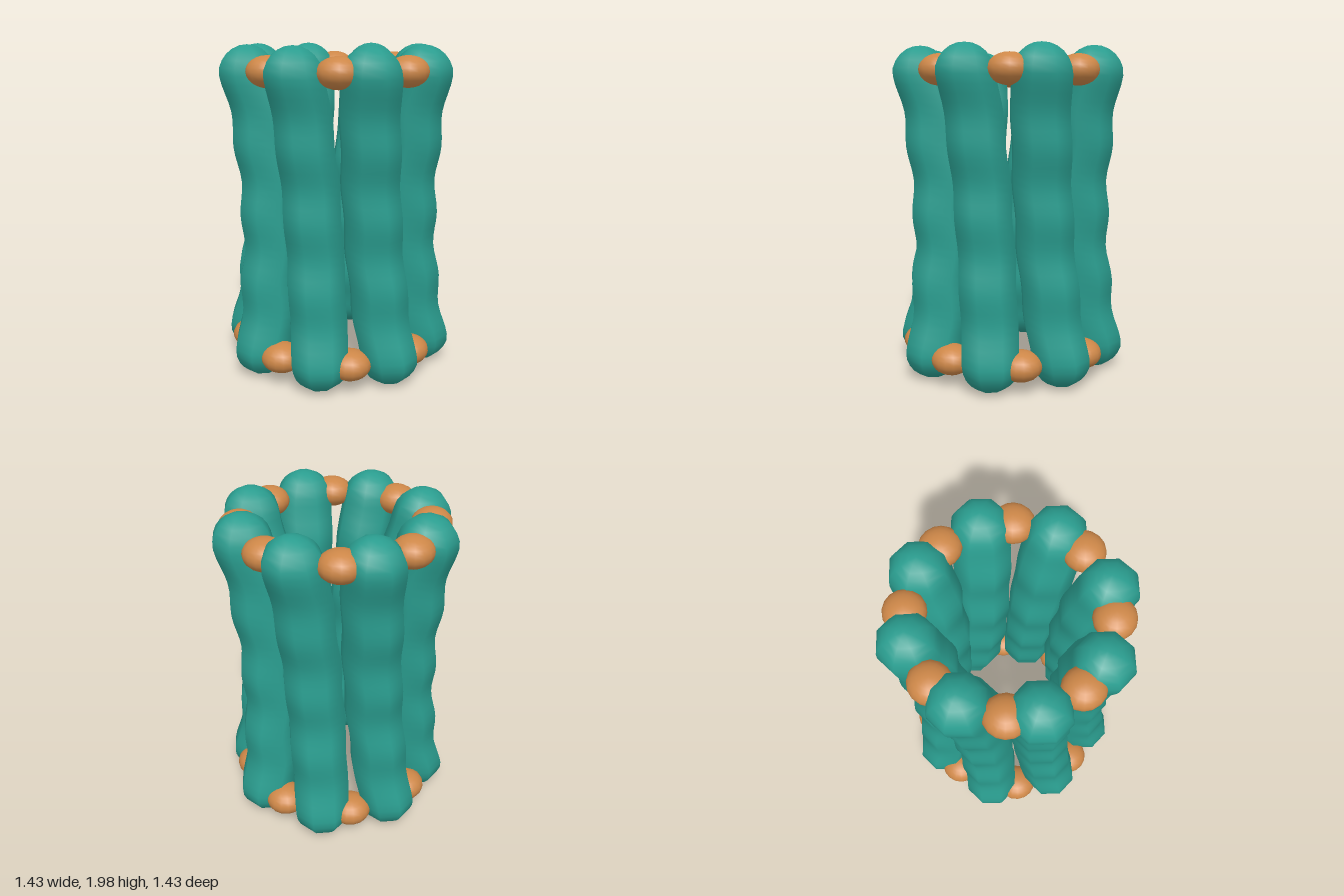
import * as THREE from 'three';
import { mergeVertices } from 'three/addons/utils/BufferGeometryUtils.js';

const SIDES = 8, STRANDS = 8;
const TUBE_R = 0.177, BOTTOM = 0.01, TOP = 1.99;
const TWIST = THREE.MathUtils.degToRad(7.5);

// Centre line of one strand: waisted, gently pleated and leaning around the ring
function centreAt(y) {
  const u = THREE.MathUtils.clamp(y - 1, -0.85, 0.85);
  const r = 0.45 + 0.125 * u * u + 0.012 * Math.cos((2 * Math.PI * u) / 0.4);
  const a = (u / 0.85) * TWIST;
  return { x: r * Math.cos(a), z: r * Math.sin(a) };
}

// Round-ended eight-sided rod, bent along the centre line
function strandGeometry() {
  const profile = [];
  const capSteps = 6, bodySteps = 32;
  for (let i = 0; i <= capSteps; i++) {
    const a = (i / capSteps) * Math.PI / 2;
    profile.push(new THREE.Vector2(TUBE_R * Math.sin(a), BOTTOM + TUBE_R * (1 - Math.cos(a))));
  }
  for (let i = 1; i < bodySteps; i++) {
    const y = THREE.MathUtils.lerp(BOTTOM + TUBE_R, TOP - TUBE_R, i / bodySteps);
    profile.push(new THREE.Vector2(TUBE_R, y));
  }
  for (let i = capSteps; i >= 0; i--) {
    const a = (i / capSteps) * Math.PI / 2;
    profile.push(new THREE.Vector2(TUBE_R * Math.sin(a), TOP - TUBE_R * (1 - Math.cos(a))));
  }
  let geo = new THREE.LatheGeometry(profile, SIDES);
  const pos = geo.attributes.position;
  for (let i = 0; i < pos.count; i++) {
    const c = centreAt(pos.getY(i));
    pos.setX(i, pos.getX(i) + c.x);
    pos.setZ(i, pos.getZ(i) + c.z);
  }
  // weld the seam so the shading is smooth all round
  geo.deleteAttribute('uv');
  geo.deleteAttribute('normal');
  geo = mergeVertices(geo, 1e-5);
  geo.computeVertexNormals();
  return geo;
}

export function createModel() {
  const model = new THREE.Group();
  model.name = 'barrel';
  const teal = new THREE.MeshStandardMaterial({ color: 0x2a9d8f });
  const orange = new THREE.MeshStandardMaterial({ color: 0xcd8748 });

  const strandGeo = strandGeometry();
  // Links: squashed beads, longest along the ring
  const linkGeo = new THREE.SphereGeometry(1, 16, 12);
  linkGeo.scale(0.12, 0.09, 0.125);

  function addLink(name, angle, y, radius) {
    const link = new THREE.Mesh(linkGeo, orange);
    link.name = name;
    link.position.set(radius * Math.cos(angle), y, radius * Math.sin(angle));
    link.rotation.y = -angle;
    model.add(link);
  }

  for (let i = 0; i < STRANDS; i++) {
    const angle = (i / STRANDS) * Math.PI * 2;
    const strand = new THREE.Mesh(strandGeo, teal);
    strand.name = `strand${i + 1}`;
    strand.rotation.y = -angle;
    model.add(strand);

    // Links between neighbouring strand ends
    const between = angle + Math.PI / STRANDS;
    const shift = THREE.MathUtils.degToRad(4);
    addLink(`topLink${i + 1}`, between + TWIST - shift, 1.845, 0.55);
    addLink(`bottomLink${i + 1}`, between - TWIST + shift, 0.165, 0.55);
  }
  return model;
}
